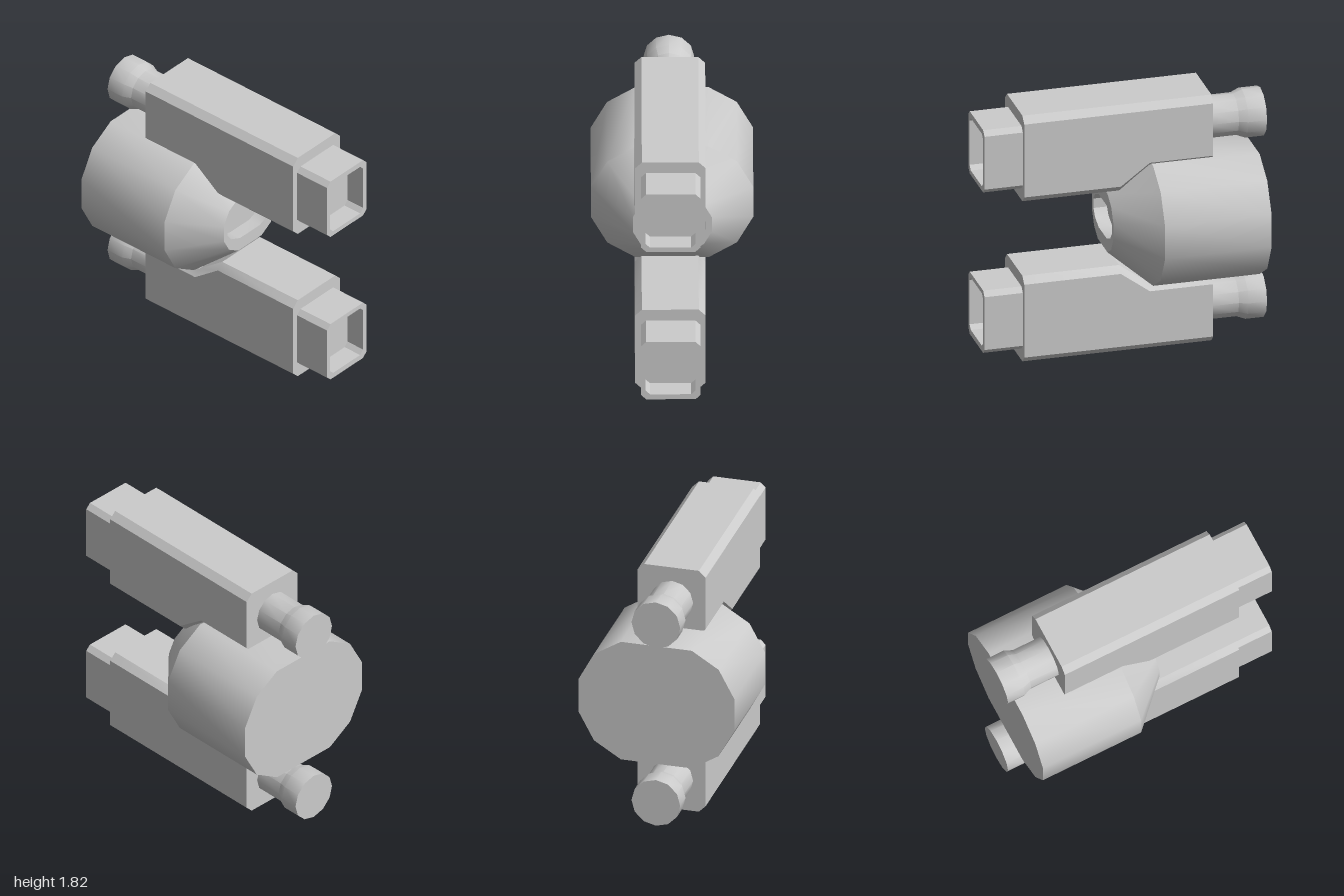
import * as THREE from 'three';
import { toCreasedNormals } from 'three/addons/utils/BufferGeometryUtils.js';

const material = new THREE.MeshStandardMaterial({ color: 0xcccccc });

// Rectangle with cut corners, counter-clockwise seen from the front.
function cutRect(x0, x1, y0, y1, c) {
  return [
    [x1, y0 + c], [x1, y1 - c], [x1 - c, y1], [x0 + c, y1],
    [x0, y1 - c], [x0, y0 + c], [x0 + c, y0], [x1 - c, y0],
  ];
}

// Twelve-sided ring from three corners of its upper right quarter.
function quarterRing(q, cy, s = 1) {
  const r = [...q].reverse();
  return [
    ...q, ...r.map(([x, y]) => [-x, y]),
    ...q.map(([x, y]) => [-x, -y]), ...r.map(([x, y]) => [x, -y]),
  ].map(([x, y]) => [x * s, cy + y * s]);
}

function circle(cx, cy, r, n = 12) {
  return Array.from({ length: n }, (_, i) => {
    const a = (i / n) * Math.PI * 2;
    return [cx + r * Math.cos(a), cy + r * Math.sin(a)];
  });
}

// Skins sections [z, ring], ordered back to front, and caps both ends.
// A section that turns back inwards makes a recess.
function loft(name, sections) {
  const pos = [], idx = [], n = sections[0][1].length, last = sections.length - 1;
  for (const [z, ring] of sections) for (const [x, y] of ring) pos.push(x, y, z);
  for (let i = 0; i < last; i++) {
    for (let j = 0; j < n; j++) {
      const k = (j + 1) % n;
      const a = i * n + j, b = i * n + k, c = b + n, d = a + n;
      idx.push(a, b, c, a, c, d);
    }
  }
  for (let j = 1; j < n - 1; j++) {
    idx.push(0, j + 1, j);
    idx.push(last * n, last * n + j, last * n + j + 1);
  }
  const g = new THREE.BufferGeometry();
  g.setAttribute('position', new THREE.Float32BufferAttribute(pos, 3));
  g.setIndex(idx);
  const mesh = new THREE.Mesh(toCreasedNormals(g, 0.6), material);
  mesh.name = name;
  return mesh;
}

// One long housing with a hollow muzzle in front and a flared plug behind.
function barrelUnit(name, lower, plugY) {
  const unit = new THREE.Group();
  unit.name = name;
  const rect = (x0, x1, y0, y1, c) =>
    lower ? cutRect(x0, x1, 1.815 - y1, 1.815 - y0, c) : cutRect(x0, x1, y0, y1, c);

  // Housing, with its inner side stepped back to clear the engine
  const shallow = rect(-0.255, 0.225, 1.335, 1.815, 0.047);
  const deep = rect(-0.255, 0.225, 1.183, 1.815, 0.047);
  unit.add(loft('housing', [[-0.6, shallow], [-0.155, shallow], [0.05, deep], [0.73, deep]]));

  // Muzzle with square recess
  const outer = rect(-0.215, 0.19, 1.27, 1.73, 0.035);
  const inner = rect(-0.183, 0.155, 1.303, 1.69, 0.03);
  unit.add(loft('muzzle', [[0.73, outer], [1, outer], [1, inner], [0.86, inner]]));

  // Rear plug
  const wide = circle(-0.02, plugY, 0.172), narrow = circle(-0.02, plugY, 0.147);
  unit.add(loft('rearPlug', [[-1, wide], [-0.87, wide], [-0.81, narrow], [-0.6, narrow]]));
  return unit;
}

export function createModel() {
  const model = new THREE.Group();
  model.name = 'twinBarrelUnit';

  // Central drum: wide back, tapered nose with a recessed opening
  const cy = 0.925;
  const corners = [[0.55, 0.12], [0.44, 0.325], [0.25, 0.443]];
  const drum = quarterRing(corners, cy);
  const nose = quarterRing(corners, cy, 0.487);
  const hole = quarterRing([[0.23, 0.035], [0.19, 0.085], [0.1, 0.122]], cy);
  model.add(loft('centralDrum', [
    [-0.92, drum], [-0.17, drum], [0.115, nose], [0.115, hole], [0.02, hole],
  ]));

  model.add(barrelUnit('upperBarrel', false, 1.567));
  model.add(barrelUnit('lowerBarrel', true, 0.228));
  return model;
}
